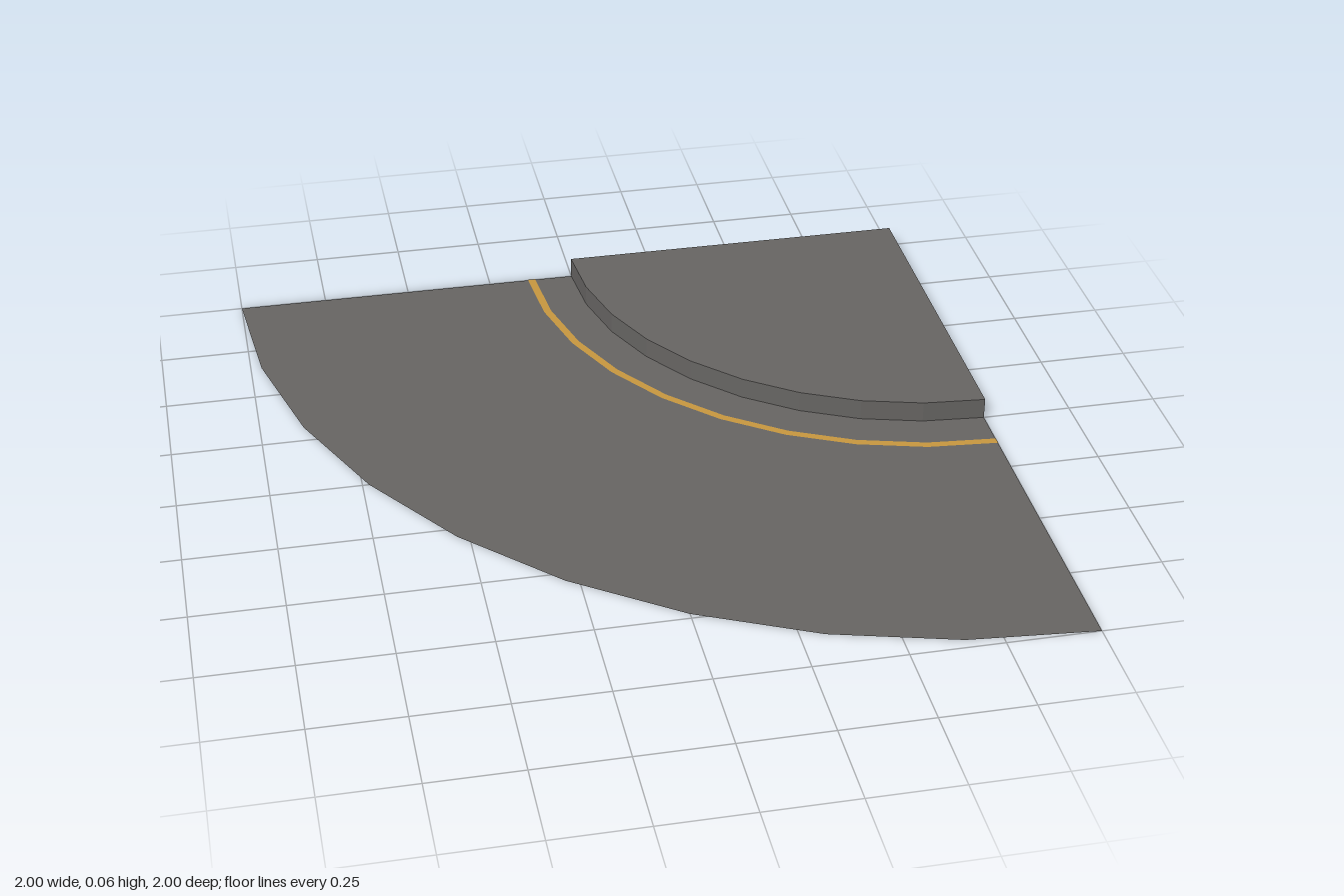
import * as THREE from 'three';

// Quarter-circle road bend around a raised inner kerb corner.
const SEGMENTS = 9;
const KERB_RADIUS = 1, ROAD_RADIUS = 2, KERB_HEIGHT = 0.06;
const QUARTER = Math.PI / 2;

export function createModel() {
  const model = new THREE.Group();
  model.name = 'roadCorner';

  const asphalt = new THREE.MeshStandardMaterial({ color: 0x676563, side: THREE.DoubleSide, flatShading: true });
  asphalt.name = 'asphalt grey';
  const paint = new THREE.MeshStandardMaterial({ color: 0xc8983f, flatShading: true });
  paint.name = 'line yellow';

  // All parts share the bend centre at the back left corner.
  const add = (name, geometry, material, y) => {
    const mesh = new THREE.Mesh(geometry, material);
    mesh.name = name;
    mesh.position.set(1, y, -1);
    model.add(mesh);
  };
  const flatArc = (inner, outer) =>
    new THREE.RingGeometry(inner, outer, SEGMENTS, 1, Math.PI, QUARTER).rotateX(-QUARTER);

  // Road surface
  add('road', flatArc(KERB_RADIUS, ROAD_RADIUS), asphalt, 0);

  // Painted edge line
  add('edgeLine', flatArc(1.112, 1.134), paint, 0.002);

  // Kerb wall and raised pavement, open underneath
  add('kerb', new THREE.CylinderGeometry(KERB_RADIUS, KERB_RADIUS, KERB_HEIGHT, SEGMENTS, 1, true,
    3 * QUARTER, QUARTER), asphalt, KERB_HEIGHT / 2);
  add('pavement', new THREE.CircleGeometry(KERB_RADIUS, SEGMENTS, Math.PI, QUARTER).rotateX(-QUARTER),
    asphalt, KERB_HEIGHT);

  return model;
}
